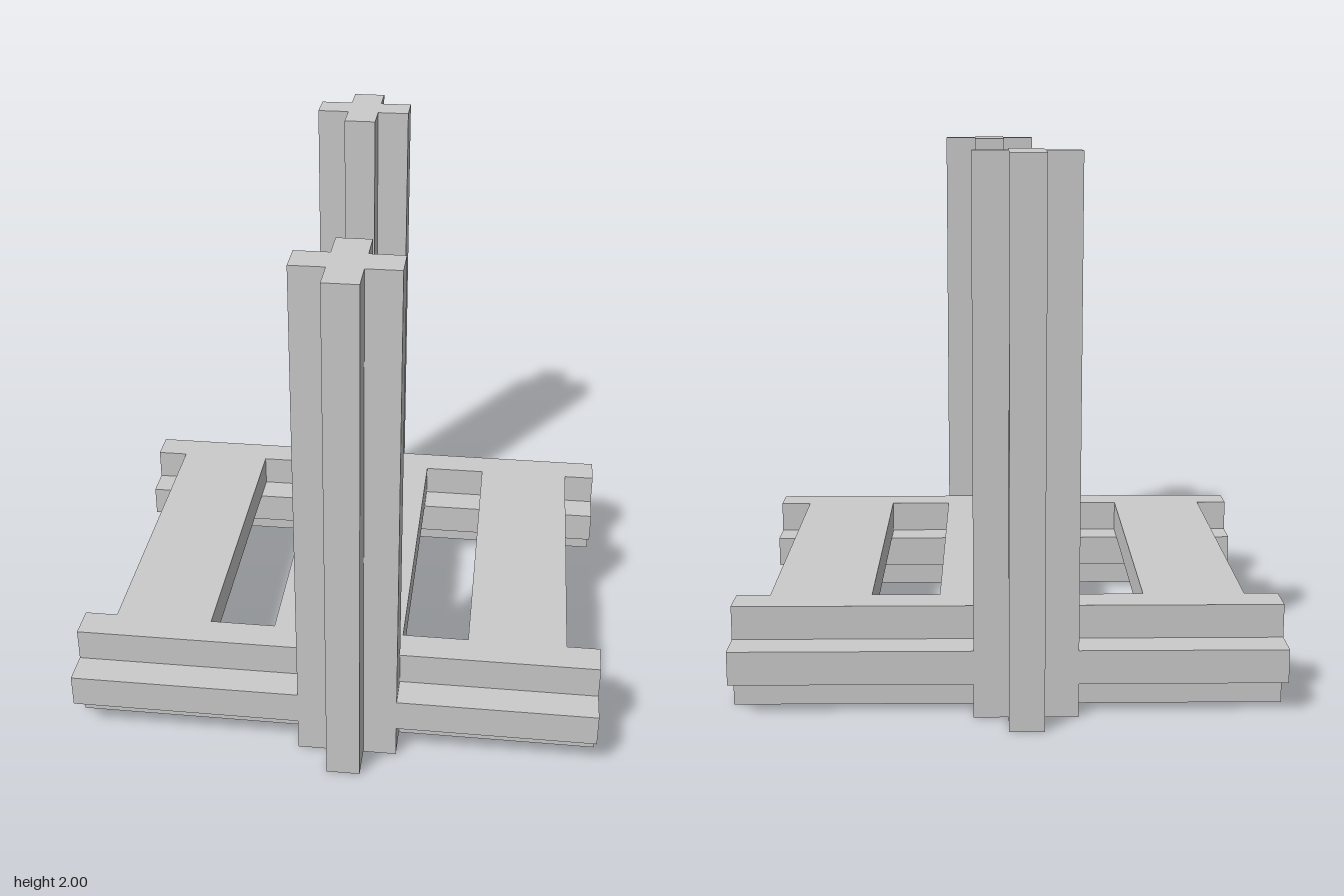
import * as THREE from 'three';

const U = 0.125; // width of one arm of the cross profile
const material = new THREE.MeshStandardMaterial({ color: 0xcccccc, flatShading: true });

// Bar with a plus-shaped section, 3 units across, running along z and centred
function crossBar(name, length) {
  const a = U / 2, b = U * 1.5;
  const outline = [
    [-a, -b], [a, -b], [a, -a], [b, -a], [b, a], [a, a],
    [a, b], [-a, b], [-a, a], [-b, a], [-b, -a], [-a, -a],
  ].map(([x, y]) => new THREE.Vector2(x, y));
  const geometry = new THREE.ExtrudeGeometry(new THREE.Shape(outline), { depth: length, bevelEnabled: false });
  geometry.translate(0, 0, -length / 2);
  const mesh = new THREE.Mesh(geometry, material);
  mesh.name = name;
  return mesh;
}

// One end of the frame: a long rail with an upright post interlocked outside it
function createEnd(name) {
  const end = new THREE.Group();
  end.name = name;

  const rail = crossBar('rail', 2);
  rail.rotation.y = Math.PI / 2;
  rail.position.set(0, 1.5 * U, 5.5 * U);

  const post = crossBar('post', 2);
  post.rotation.x = -Math.PI / 2;
  post.position.set(U / 2, 1, 6.5 * U);

  end.add(rail, post);
  return end;
}

export function createModel() {
  const model = new THREE.Group();
  model.name = 'frame';

  // Two identical ends, the back one turned half way round
  const front = createEnd('frontEnd');
  const back = createEnd('backEnd');
  back.rotation.y = Math.PI;
  model.add(front, back);

  // Three slats resting on the inner flanges: [name, centre x, width]
  const slats = [
    ['rightSlat', -5.5 * U, 3 * U],
    ['middleSlat', 0, 4 * U],
    ['leftSlat', 5.5 * U, 3 * U],
  ];
  for (const [name, x, width] of slats) {
    const slat = new THREE.Mesh(new THREE.BoxGeometry(width, U, 10 * U), material);
    slat.name = name;
    slat.position.set(x, 2.5 * U, 0);
    model.add(slat);
  }
  return model;
}
